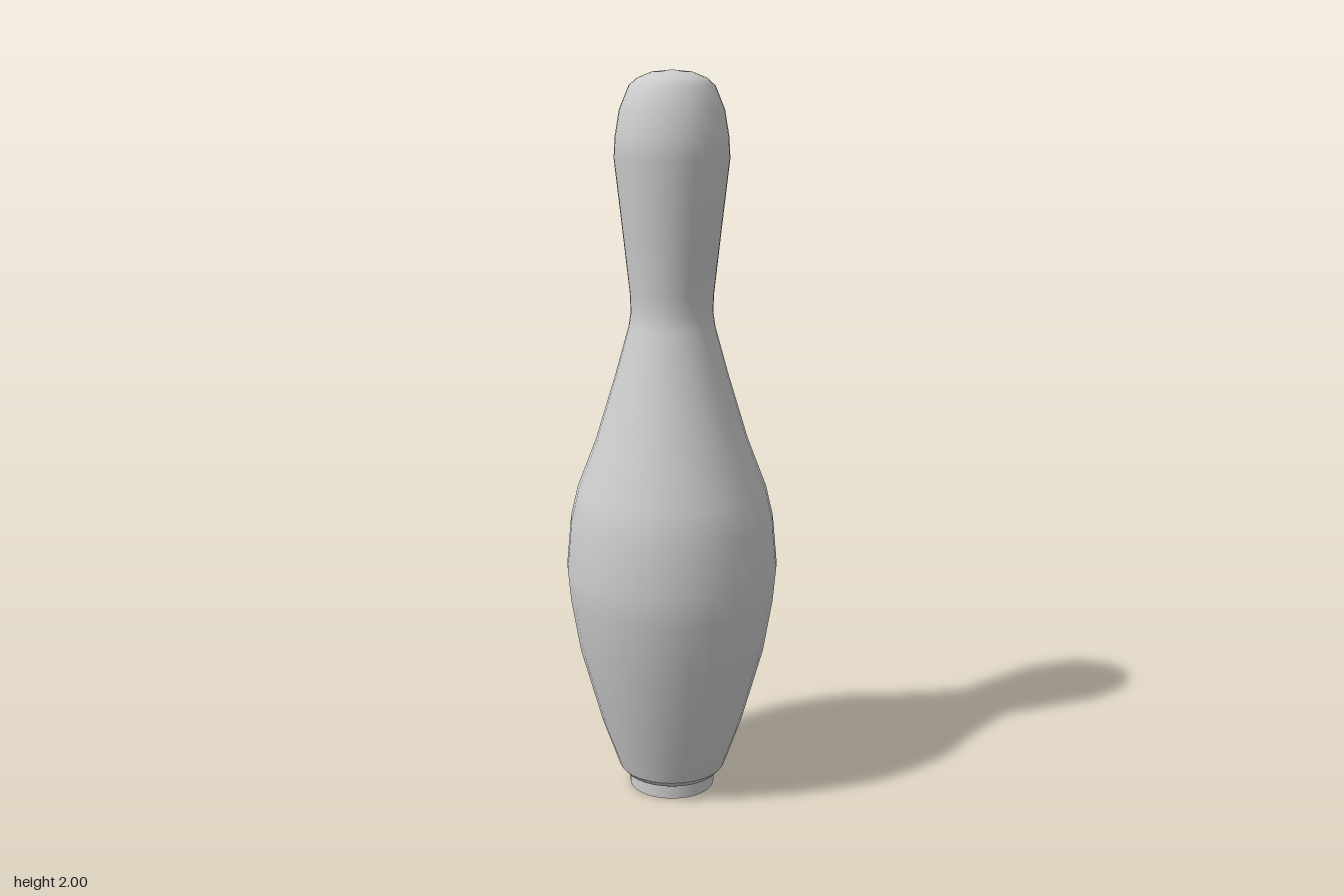
import * as THREE from 'three';

const SIDES = 32;

export function createModel() {
  const pin = new THREE.Group();
  pin.name = 'bowlingPin';
  const paleGrey = new THREE.MeshStandardMaterial({ color: 0xcccccc });
  paleGrey.name = 'paleGrey';

  // Turn a [radius, height] profile, listed from bottom to top, around y
  const turn = (name, profile) => {
    const points = profile.map(([r, y]) => new THREE.Vector2(r, y));
    const mesh = new THREE.Mesh(new THREE.LatheGeometry(points, SIDES), paleGrey);
    mesh.name = name;
    pin.add(mesh);
  };

  // Foot: a short disc, closed underneath
  const foot = new THREE.Mesh(new THREE.CylinderGeometry(0.12, 0.12, 0.05, SIDES), paleGrey);
  foot.name = 'foot';
  foot.position.y = 0.025;
  pin.add(foot);

  // Bevelled underside of the body
  turn('bodyUnderside', [[0, 0.045], [0.135, 0.045], [0.15, 0.062]]);

  // Belly, neck and rounded head in one smooth skin
  turn('body', [
    [0.15, 0.062], [0.199, 0.2], [0.26, 0.42], [0.285, 0.57], [0.293, 0.66],
    [0.28, 0.8], [0.26, 0.885], [0.208, 1.02], [0.153, 1.2], [0.117, 1.33],
    [0.111, 1.37], [0.113, 1.42], [0.133, 1.6], [0.153, 1.775], [0.15, 1.83],
    [0.138, 1.9], [0.113, 1.96], [0.09, 1.98], [0.052, 1.995], [0, 2],
  ]);

  return pin;
}
